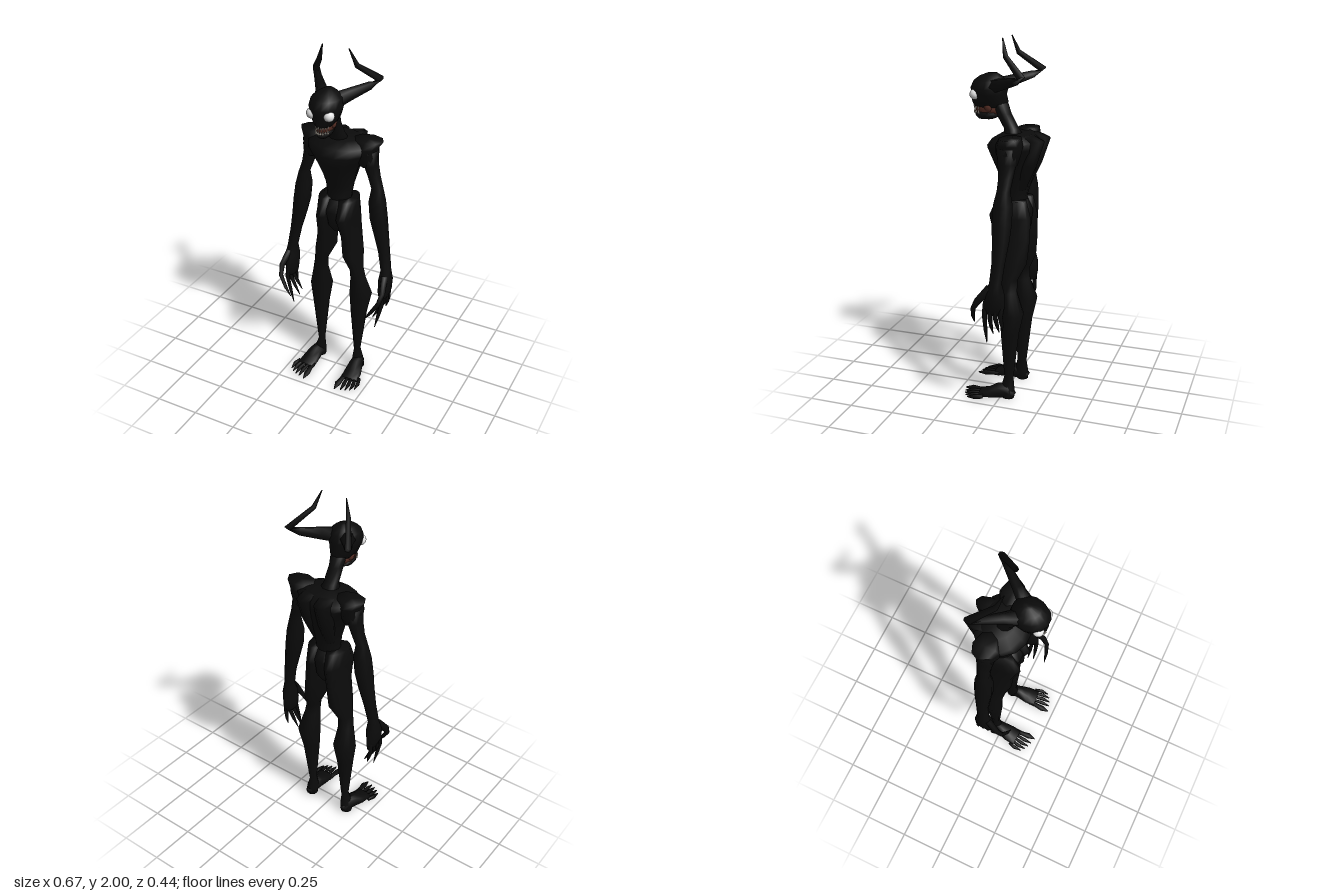
import * as THREE from 'three';

const mat = (name, color, side = THREE.FrontSide) => {
  const m = new THREE.MeshStandardMaterial({ color, side });
  m.name = name;
  return m;
};

// Closed skin through elliptical rings [x, y, z, radiusA, radiusB].
// level = true keeps every ring horizontal, otherwise rings follow the path.
function loft(rings, level = false, n = 10) {
  const c = rings.map(r => new THREE.Vector3(r[0], r[1], r[2]));
  const pos = [], idx = [], last = rings.length - 1;
  rings.forEach((r, i) => {
    const t = c[Math.min(i + 1, last)].clone().sub(c[Math.max(i - 1, 0)]).normalize();
    if (level) t.set(0, Math.sign(c[last].y - c[0].y), 0);
    const u = new THREE.Vector3(1, 0, 0).addScaledVector(t, -t.x).normalize();
    const v = t.clone().cross(u);
    for (let j = 0; j < n; j++) {
      const a = j / n * Math.PI * 2;
      const p = c[i].clone().addScaledVector(u, Math.cos(a) * r[3]).addScaledVector(v, Math.sin(a) * r[4]);
      pos.push(p.x, p.y, p.z);
    }
  });
  for (let i = 0; i < last; i++) for (let j = 0; j < n; j++) {
    const a = i * n + j, b = i * n + (j + 1) % n;
    idx.push(a, b, b + n, a, b + n, a + n);
  }
  // end caps
  [0, last].forEach(i => {
    const k = pos.length / 3;
    pos.push(c[i].x, c[i].y, c[i].z);
    for (let j = 0; j < n; j++) {
      const a = i * n + j, b = i * n + (j + 1) % n;
      i ? idx.push(k, a, b) : idx.push(k, b, a);
    }
  });
  const g = new THREE.BufferGeometry();
  g.setAttribute('position', new THREE.Float32BufferAttribute(pos, 3));
  g.setIndex(idx);
  g.computeVertexNormals();
  return g;
}

export function createModel() {
  const model = new THREE.Group();
  model.name = 'hornedCreature';
  const skin = mat('blackSkin', 0x0b0b0b), white = mat('eyeWhite', 0xe8e8e8);
  const flesh = mat('mouthFlesh', 0x5a3026), bone = mat('toothBone', 0xd6cdbf);

  const add = (name, geo, material = skin) => {
    const m = new THREE.Mesh(geo, material);
    m.name = name;
    model.add(m);
    return m;
  };
  const flip = (rings, s) => rings.map(([x, ...rest]) => [x * s, ...rest]);

  // Trunk
  add('torso', loft([
    [0, 1.06, -0.04, 0.07, 0.08], [0, 1.16, -0.045, 0.07, 0.06], [0, 1.22, -0.05, 0.078, 0.075],
    [0, 1.3, -0.045, 0.095, 0.105], [0, 1.37, -0.04, 0.125, 0.13], [0, 1.43, -0.035, 0.165, 0.145],
    [0, 1.47, -0.05, 0.18, 0.13], [0, 1.5, -0.055, 0.11, 0.085]], true, 14));
  add('pelvis', loft([
    [0, 0.935, -0.045, 0.025, 0.05], [0, 0.99, -0.04, 0.06, 0.09],
    [0, 1.08, -0.035, 0.08, 0.105], [0, 1.14, -0.04, 0.07, 0.07]], true));
  add('neck', loft([
    [0, 1.46, -0.04, 0.07, 0.06], [0, 1.52, -0.02, 0.04, 0.04],
    [0, 1.6, 0.025, 0.037, 0.042], [0, 1.68, 0.06, 0.045, 0.05]], true));

  // Head
  add('skull', loft([
    [0, 1.632, 0.105, 0.046, 0.085], [0, 1.66, 0.1, 0.062, 0.1], [0, 1.7, 0.105, 0.08, 0.094],
    [0, 1.73, 0.105, 0.086, 0.102], [0, 1.77, 0.1, 0.078, 0.088],
    [0, 1.795, 0.095, 0.05, 0.06], [0, 1.812, 0.085, 0.016, 0.025]], true, 14));
  add('jaw', loft([
    [0, 1.565, 0.125, 0.022, 0.04], [0, 1.58, 0.115, 0.036, 0.066],
    [0, 1.604, 0.11, 0.042, 0.078]], true));
  add('mouth', loft([
    [0, 1.598, 0.108, 0.04, 0.076], [0, 1.618, 0.106, 0.041, 0.074],
    [0, 1.642, 0.106, 0.046, 0.084]], true), flesh);

  // Teeth in two rows around the front of the mouth
  for (let i = -4; i <= 4; i++) {
    const a = i * 0.24;
    for (const up of [1, 0]) {
      const geo = new THREE.ConeGeometry(0.0055, i % 2 ? 0.018 : 0.025, 5);
      if (!up) geo.rotateX(Math.PI);
      const tooth = add(up ? 'lowerTooth' : 'upperTooth', geo, bone);
      tooth.position.set(Math.sin(a) * 0.042, up ? 1.608 : 1.626, 0.108 + Math.cos(a) * 0.08);
    }
  }

  for (const s of [1, -1]) {
    const side = s > 0 ? 'left' : 'right';
    const part = (name, rings, level, n) => add(side + name, loft(flip(rings, s), level, n));

    add(side + 'Eye', new THREE.SphereGeometry(0.029, 16, 12), white).position.set(0.048 * s, 1.7, 0.168);
    const cheek = add(side + 'Cheek', new THREE.SphereGeometry(0.024, 8, 6), flesh);
    cheek.position.set(0.037 * s, 1.637, 0.1);
    cheek.scale.set(0.75, 1.25, 1);

    part('Horn', [
      [0.035, 1.745, 0.07, 0.045, 0.04], [0.085, 1.765, 0.0, 0.03, 0.033],
      [0.15, 1.79, -0.085, 0.02, 0.022], [0.186, 1.815, -0.132, 0.018, 0.022],
      [0.106, 1.91, -0.022, 0.014, 0.014], [0.074, 2.0, 0.004, 0.003, 0.003]], false, 6);

    // Pointed shoulder blade and flat-topped shoulder
    part('ShoulderBlade', [
      [0.035, 1.2, -0.08, 0.03, 0.03], [0.05, 1.34, -0.125, 0.045, 0.05],
      [0.055, 1.475, -0.155, 0.045, 0.065], [0.05, 1.495, -0.12, 0.04, 0.05]], true, 8);
    part('Shoulder', [
      [0.16, 1.36, -0.055, 0.045, 0.05], [0.158, 1.42, -0.055, 0.06, 0.07],
      [0.155, 1.465, -0.06, 0.06, 0.075], [0.16, 1.502, -0.065, 0.082, 0.06]], true, 8);

    part('Arm', [
      [0.17, 1.45, -0.055, 0.047, 0.06], [0.178, 1.37, -0.055, 0.038, 0.05],
      [0.198, 1.3, -0.055, 0.032, 0.04], [0.22, 1.235, -0.05, 0.031, 0.036],
      [0.223, 1.16, -0.047, 0.046, 0.052], [0.235, 1.06, -0.045, 0.048, 0.054],
      [0.252, 0.97, -0.045, 0.041, 0.046], [0.275, 0.86, -0.04, 0.032, 0.036],
      [0.294, 0.75, -0.03, 0.029, 0.034], [0.295, 0.69, -0.025, 0.038, 0.055],
      [0.295, 0.62, -0.02, 0.032, 0.062], [0.288, 0.57, -0.02, 0.018, 0.05]], true);
    part('Thumb', [
      [0.3, 0.72, 0.0, 0.02, 0.028], [0.317, 0.65, 0.062, 0.016, 0.022],
      [0.308, 0.6, 0.092, 0.013, 0.014], [0.27, 0.54, 0.108, 0.01, 0.01],
      [0.235, 0.49, 0.113, 0.002, 0.002]], false, 6);
    [[0.262, 0.39, 0.032], [0.237, 0.435, 0.005], [0.24, 0.45, -0.03], [0.285, 0.48, -0.065]]
      .forEach(([x, y, z], i) => {
        const z0 = 0.026 - i * 0.03;
        part('Finger' + (i + 1), [
          [0.296, 0.63, z0, 0.017, 0.016], [0.302, 0.56, z0 + 0.004, 0.013, 0.013],
          [(x + 0.3) / 2, (y + 0.55) / 2, z, 0.01, 0.01], [x, y, z, 0.002, 0.002]], false, 6);
      });

    part('Leg', [
      [0.06, 1.145, -0.04, 0.05, 0.085], [0.06, 1.05, -0.03, 0.05, 0.118],
      [0.072, 0.93, -0.047, 0.042, 0.1], [0.084, 0.8, -0.045, 0.052, 0.09],
      [0.11, 0.71, -0.036, 0.034, 0.055], [0.118, 0.64, -0.042, 0.041, 0.05],
      [0.126, 0.52, -0.065, 0.064, 0.066], [0.122, 0.4, -0.052, 0.046, 0.052],
      [0.118, 0.13, -0.045, 0.017, 0.027], [0.125, 0.06, -0.04, 0.032, 0.04],
      [0.128, 0.01, -0.045, 0.034, 0.034]], true, 12);
    part('Foot', [
      [0.128, 0.024, -0.078, 0.02, 0.02], [0.128, 0.048, -0.04, 0.034, 0.044],
      [0.135, 0.045, 0.01, 0.042, 0.042], [0.141, 0.03, 0.06, 0.052, 0.027],
      [0.145, 0.022, 0.115, 0.052, 0.017]]);

    // Five pointed toes, largest on the inside
    [[0.102, 0.22], [0.137, 0.21], [0.163, 0.202], [0.187, 0.19], [0.208, 0.172]]
      .forEach(([x, z], i) => {
        const r = i ? 0.011 : 0.018, x0 = 0.108 + i * 0.02;
        part('Toe' + (i + 1), [
          [x0, 0.022, 0.09, r, 0.014], [(x0 + x) / 2, 0.02, z - 0.085, r * 0.75, 0.011],
          [x, 0.018, z - 0.045, r, 0.014], [x, 0.012, z, 0.003, 0.003]], false, 7);
      });
  }
  return model;
}
